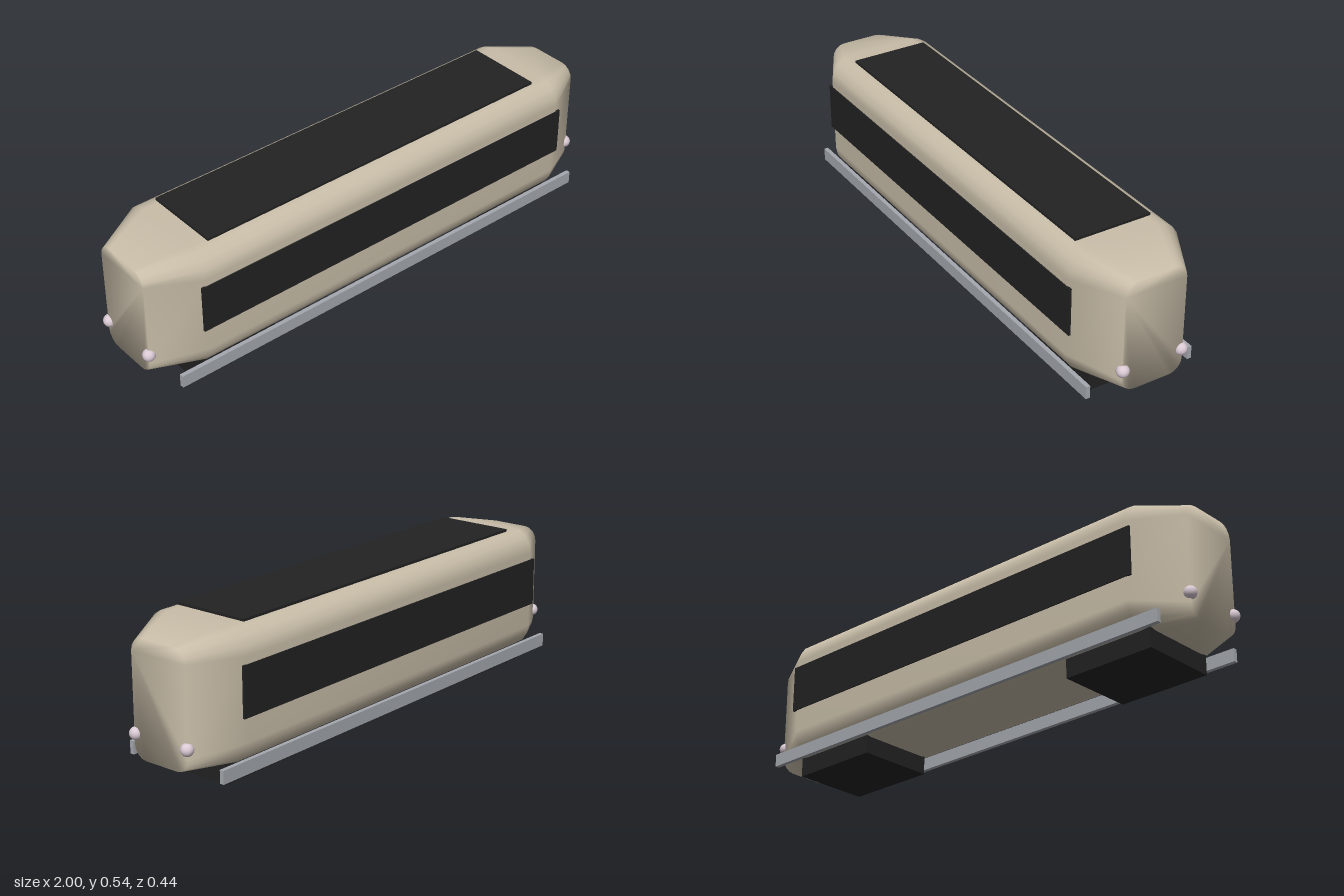
import * as THREE from 'three';

const mat = (name, color) => {
  const m = new THREE.MeshStandardMaterial({ color });
  m.name = name;
  return m;
};

// Rounded-rectangle cross-section in the zy plane
function section(x, halfZ, y0, y1, r, steps = 4) {
  const pts = [];
  const corners = [[1, y1 - r, 0], [-1, y1 - r, 1], [-1, y0 + r, 2], [1, y0 + r, 3]];
  for (const [side, cy, quarter] of corners) {
    for (let i = 0; i <= steps; i++) {
      const a = (quarter + i / steps) * Math.PI / 2;
      pts.push([x, cy + r * Math.sin(a), side * (halfZ - r) + r * Math.cos(a)]);
    }
  }
  return pts;
}

// Smooth skin through the sections, closed at both ends
function loft(sections) {
  const n = sections[0].length, index = [];
  for (let s = 0; s < sections.length - 1; s++) {
    for (let j = 0; j < n; j++) {
      const a = s * n + j, b = s * n + (j + 1) % n;
      index.push(a, a + n, b + n, a, b + n, b);
    }
  }
  const last = (sections.length - 1) * n;
  for (let j = 1; j < n - 1; j++) {
    index.push(0, j, j + 1, last, last + j + 1, last + j);
  }
  const g = new THREE.BufferGeometry();
  g.setAttribute('position', new THREE.Float32BufferAttribute(sections.flat(2), 3));
  g.setIndex(index);
  g.computeVertexNormals();
  return g;
}

export function createModel() {
  const group = new THREE.Group();
  const beige = mat('beige body', 0xc8bda8);
  const black = mat('black panels', 0x222222);
  const grey = mat('grey rails', 0xa4a8ae);
  const pink = mat('pale lamps', 0xd9c9d3);

  const add = (name, geometry, material, x, y, z) => {
    const m = new THREE.Mesh(geometry, material);
    m.name = name;
    m.position.set(x, y, z);
    group.add(m);
  };
  const box = (w, h, d) => new THREE.BoxGeometry(w, h, d);

  // Carriage body with tapered noses
  add('body', loft([
    section(-0.98, 0.12, 0.072, 0.492, 0.05),
    section(-0.8, 0.218, 0.067, 0.532, 0.087),
    section(0.8, 0.218, 0.067, 0.532, 0.087),
    section(0.98, 0.12, 0.072, 0.492, 0.05),
  ]), beige, 0, 0, 0);

  // Roof panel
  add('roofPanel', box(1.474, 0.009, 0.296), black, 0, 0.5365, 0);

  // Window bands and lower rails on both sides
  for (const s of [-1, 1]) {
    add('windowBand', box(1.64, 0.18, 0.008), black, 0, 0.33, s * 0.218);
    add('sideRail', box(1.83, 0.048, 0.016), grey, 0, 0.067, s * 0.205);
  }

  // Running gear and end lamps
  for (const e of [-1, 1]) {
    add('bogie', box(0.356, 0.078, 0.296), black, e * 0.658, 0.039, 0);
    for (const s of [-1, 1]) {
      add('lamp', new THREE.SphereGeometry(0.023, 20, 14), pink, e * 0.977, 0.158, s * 0.116);
    }
  }
  return group;
}
